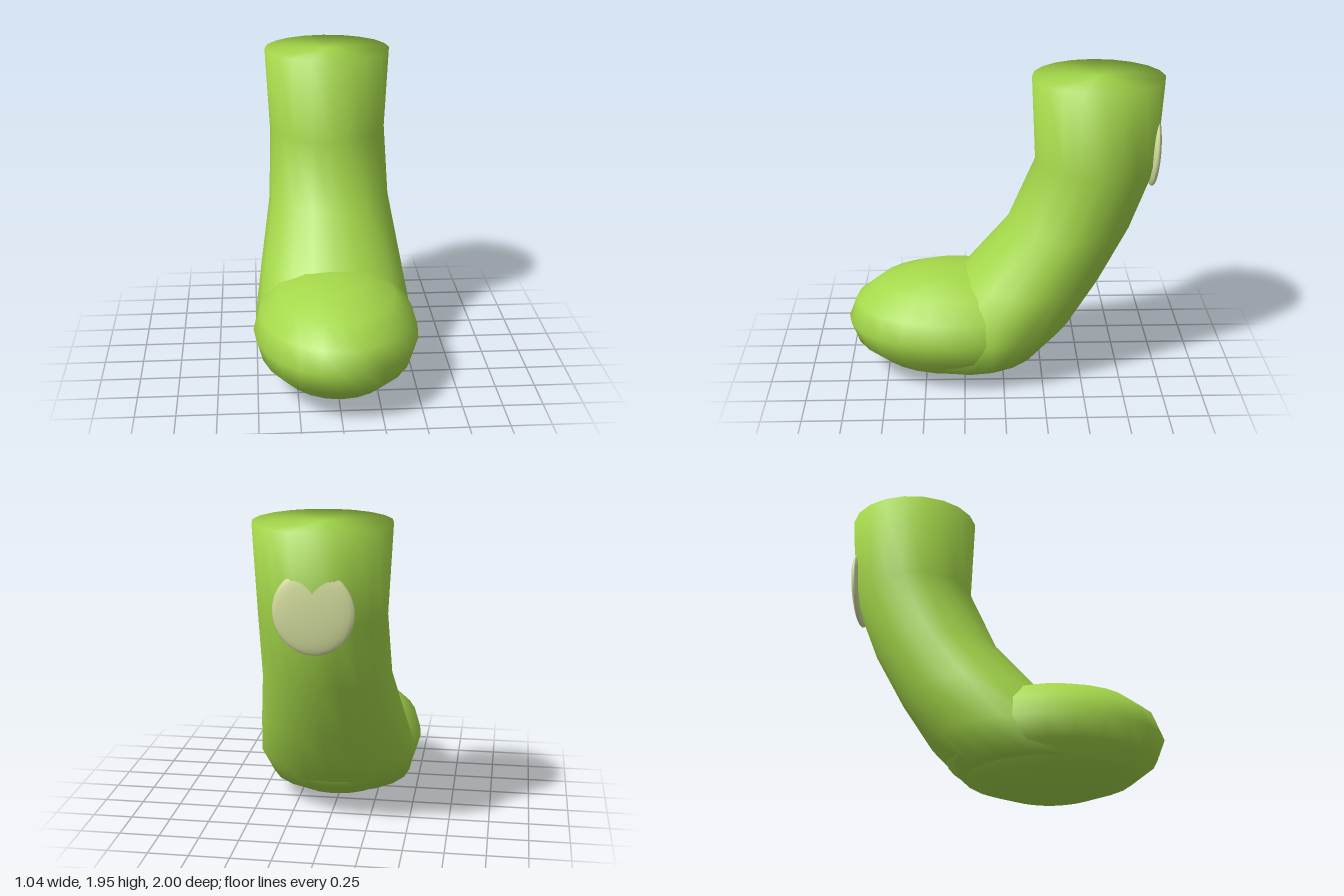
import * as THREE from 'three';
import { mergeVertices } from 'three/addons/utils/BufferGeometryUtils.js';

const green = new THREE.MeshStandardMaterial({ color: 0xa5d84a });
const pale = new THREE.MeshStandardMaterial({ color: 0xd6dfa0 });

// Leg rings from sole to top: [height, radius, z centre]; zero radius closes an end
const RINGS = [
  [0.145, 0, 0.215],
  [0.145, 0.455, 0.215],
  [0.35, 0.505, 0.07],
  [0.65, 0.455, -0.17],
  [1.0, 0.395, -0.415],
  [1.42, 0.382, -0.586],
  [1.955, 0.41, -0.59],
  [1.955, 0, -0.59],
];

// A lathe whose rings are slid along z to bend the leg
function legGeometry() {
  const profile = RINGS.map(([y, r]) => new THREE.Vector2(r, y));
  const lathe = new THREE.LatheGeometry(profile, 20);
  const pos = lathe.attributes.position;
  for (let i = 0; i < pos.count; i++) {
    pos.setZ(i, pos.getZ(i) + RINGS[i % RINGS.length][2]);
  }
  lathe.deleteAttribute('uv');
  lathe.deleteAttribute('normal');
  const geometry = mergeVertices(lathe, 1e-4);
  geometry.computeVertexNormals();
  return geometry;
}

function ellipsoid(name, material, radii, centre, heightSegments) {
  const mesh = new THREE.Mesh(new THREE.SphereGeometry(1, 24, heightSegments), material);
  mesh.name = name;
  mesh.scale.set(...radii);
  mesh.position.set(...centre);
  return mesh;
}

export function createModel() {
  const model = new THREE.Group();
  model.name = 'leg';

  const leg = new THREE.Mesh(legGeometry(), green);
  leg.name = 'bentLeg';

  // Rounded foot reaching forward
  const foot = ellipsoid('foot', green, [0.52, 0.355, 0.69], [0, 0.357, 0.31], 8);

  // Flat pale patch on the back of the leg
  const patch = ellipsoid('backPatch', pale, [0.235, 0.25, 0.038], [0, 1.5, -0.942], 16);
  patch.rotation.x = -0.035;

  model.add(leg, foot, patch);
  return model;
}
